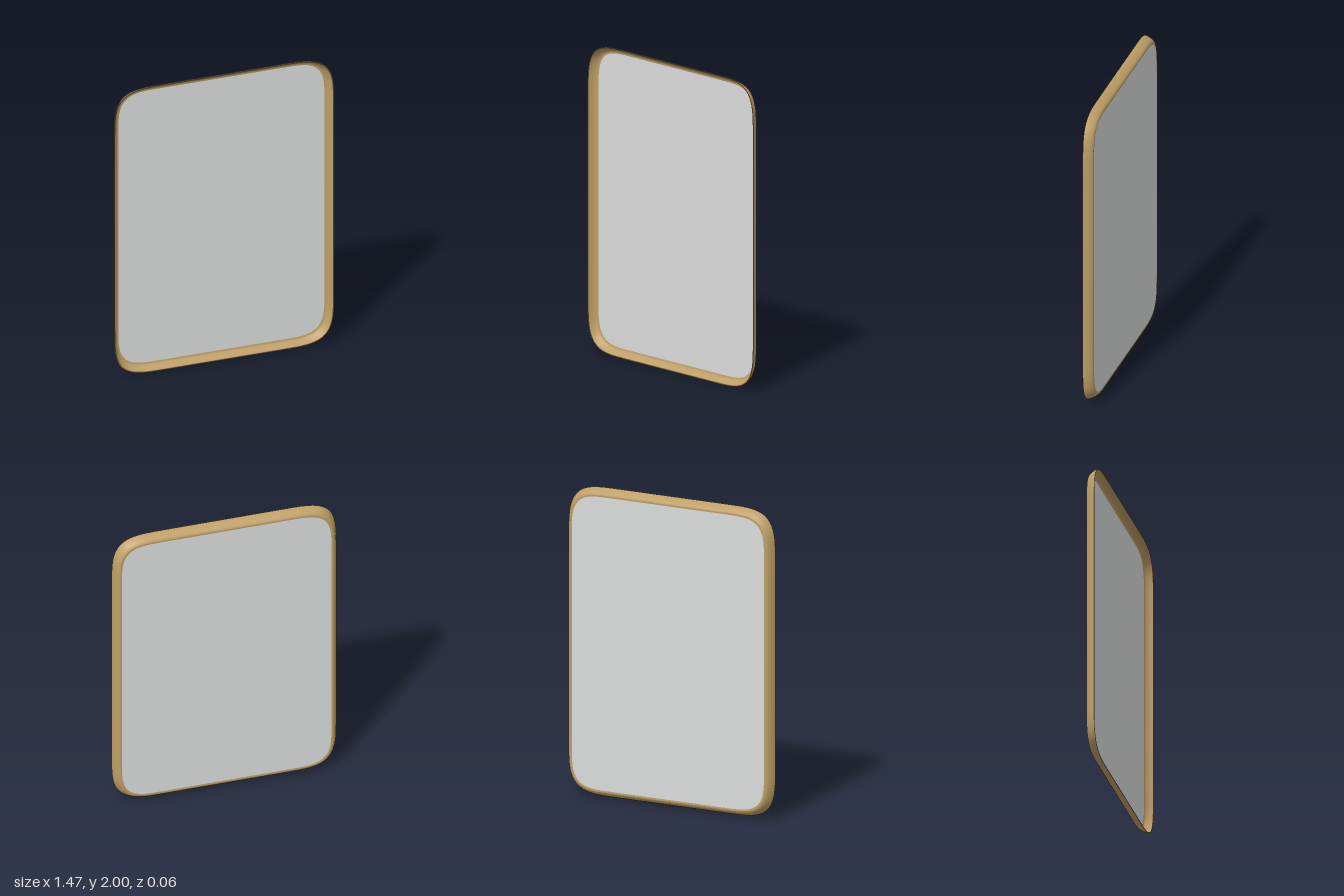
import * as THREE from 'three';

const HALF_W = 0.735, HALF_H = 1, CORNER = 0.36, STEPS = 24;

// Rounded rectangle with soft squircle corners, inset by d, counterclockwise from the front
function outline(d) {
  const w = HALF_W - d, h = HALF_H - d, r = CORNER - d * 1.4, points = [];
  for (let q = 0; q < 4; q++) {
    const sx = q === 0 || q === 3 ? 1 : -1, sy = q < 2 ? 1 : -1;
    for (let i = 0; i <= STEPS; i++) {
      const t = (q % 2 ? STEPS - i : i) / STEPS * Math.PI / 2;
      const cx = Math.sqrt(Math.max(0, Math.cos(t)));
      const cy = Math.sqrt(Math.max(0, Math.sin(t)));
      points.push(new THREE.Vector2(sx * (w - r + r * cx), HALF_H + sy * (h - r + r * cy)));
    }
  }
  return points;
}

// Skin through outlines given as [inset, z]
function loft(profile) {
  const positions = [], index = [];
  const n = 4 * (STEPS + 1);
  for (const [d, z] of profile) for (const p of outline(d)) positions.push(p.x, p.y, z);
  for (let k = 0; k < profile.length - 1; k++) {
    for (let i = 0; i < n; i++) {
      const a = k * n + i, b = k * n + (i + 1) % n;
      index.push(a, b, a + n, b, b + n, a + n);
    }
  }
  const g = new THREE.BufferGeometry();
  g.setAttribute('position', new THREE.Float32BufferAttribute(positions, 3));
  g.setIndex(index);
  g.computeVertexNormals();
  return g;
}

export function createModel() {
  const gold = new THREE.MeshStandardMaterial({ color: 0xbf9f67 });
  gold.name = 'brushed gold';
  const grey = new THREE.MeshStandardMaterial({ color: 0xdbdddc });
  grey.name = 'pale grey';

  const model = new THREE.Group();
  model.name = 'tray';
  const add = (name, geometry, material, parent) => {
    const mesh = new THREE.Mesh(geometry, material);
    mesh.name = name;
    parent.add(mesh);
    return mesh;
  };

  // Flared frame: narrow back band, curved outside, thin rim, concave inside, inner lip
  const frame = new THREE.Group();
  frame.name = 'frame';
  model.add(frame);
  add('backBand', loft([[0.05, -0.0295], [0.04, -0.03]]), gold, frame);
  add('outerWall', loft([[0.04, -0.03], [0.032, -0.028], [0.023, -0.02],
    [0.013, -0.005], [0.005, 0.012], [0.001, 0.024], [0, 0.03]]), gold, frame);
  add('rim', loft([[0, 0.03], [0.005, 0.03]]), gold, frame);
  add('innerWall', loft([[0.005, 0.03], [0.011, 0.015], [0.019, 0],
    [0.028, -0.012], [0.036, -0.0175], [0.04, -0.018]]), gold, frame);
  add('innerLip', loft([[0.04, -0.018], [0.047, -0.0195]]), gold, frame);

  // Flat panel filling the frame, grey on both faces
  const panel = add('panel', new THREE.ExtrudeGeometry(new THREE.Shape(outline(0.044)),
    { depth: 0.009, bevelEnabled: false }), grey, model);
  panel.position.z = -0.029;

  return model;
}
